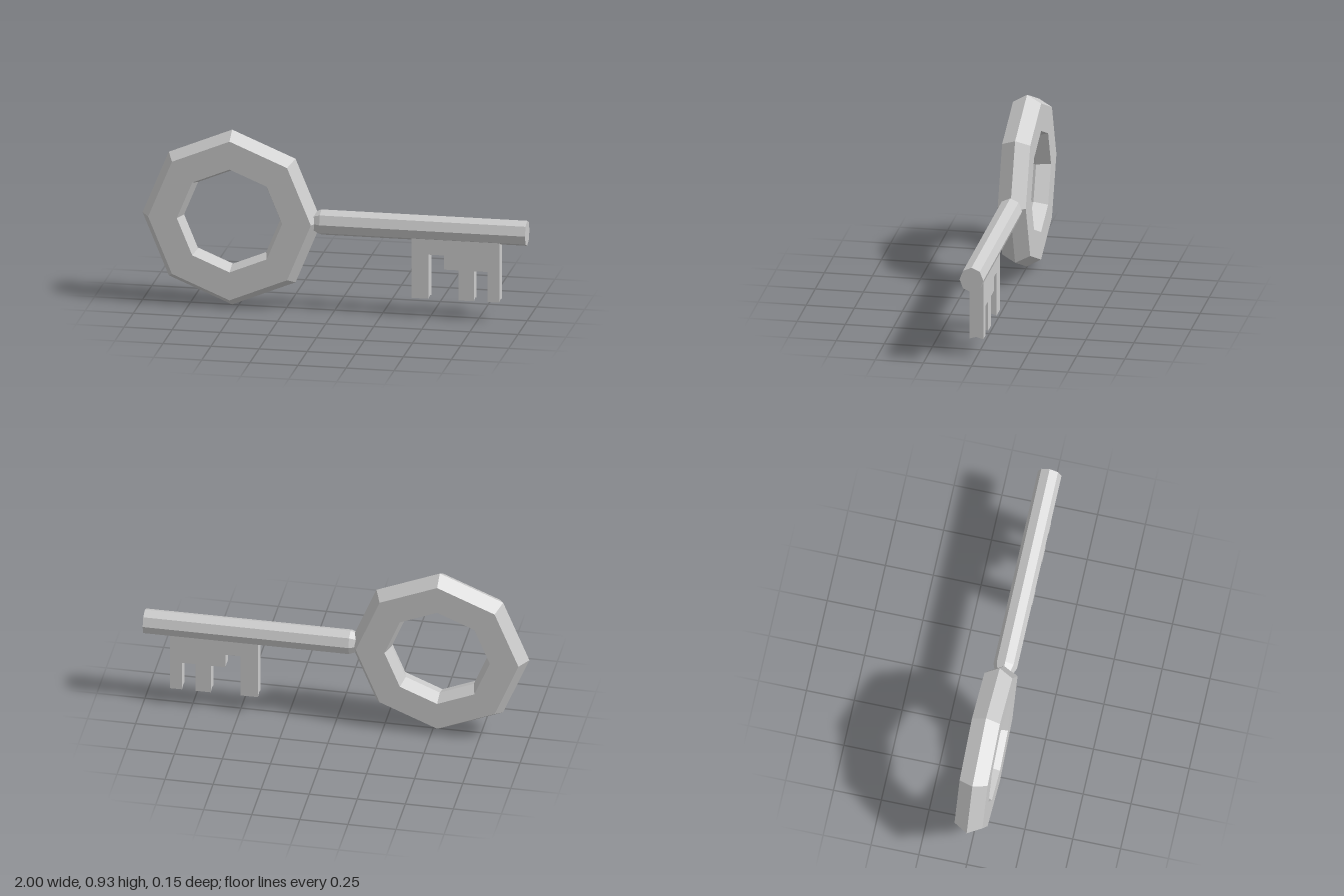
import * as THREE from 'three';

const MID = 0.467; // height of the key's axis

function facet(points, name) {
  const geo = new THREE.LatheGeometry(points.map(([r, h]) => new THREE.Vector2(r, h)), 8);
  const mesh = new THREE.Mesh(geo, new THREE.MeshStandardMaterial({ color: 0xcccccc, flatShading: true }));
  mesh.name = name;
  return mesh;
}

export function createModel() {
  const key = new THREE.Group();
  key.name = 'key';

  // Octagonal handle ring with a six-sided cross-section
  const handle = facet([
    [0.25, 0], [0.274, -0.073], [0.423, -0.073], [0.466, 0],
    [0.423, 0.073], [0.274, 0.073], [0.25, 0],
  ], 'handleRing');
  handle.geometry.rotateX(Math.PI / 2);
  handle.position.set(-0.534, MID, 0);
  key.add(handle);

  // Eight-sided shaft, tapered where it enters the ring
  const shaft = facet([[0, -0.11], [0.05, -0.11], [0.067, -0.07], [0.067, 1], [0, 1]], 'shaft');
  shaft.geometry.rotateZ(-Math.PI / 2).scale(1, 1, 0.92);
  shaft.position.y = MID;
  key.add(shaft);

  // Toothed bit; its top edge is buried in the shaft
  const outline = [
    [0.405, 0.44], [0.405, 0.1], [0.495, 0.1], [0.495, 0.335], [0.575, 0.335], [0.575, 0.26],
    [0.65, 0.26], [0.65, 0.1], [0.73, 0.1], [0.73, 0.26], [0.8, 0.26], [0.8, 0.1],
    [0.862, 0.1], [0.862, 0.44],
  ].map(([x, y]) => new THREE.Vector2(x, y));
  const bitGeo = new THREE.ExtrudeGeometry(new THREE.Shape(outline), {
    depth: 0.072, steps: 2, bevelEnabled: false,
  });
  bitGeo.translate(0, 0, -0.036);
  // Shallow V groove along the tips of the teeth
  const pos = bitGeo.attributes.position;
  for (let i = 0; i < pos.count; i++) {
    if (Math.abs(pos.getZ(i)) < 0.001 && pos.getY(i) < 0.11) pos.setY(i, 0.11);
  }
  bitGeo.computeVertexNormals();
  const bit = new THREE.Mesh(bitGeo, new THREE.MeshStandardMaterial({ color: 0xcccccc, flatShading: true }));
  bit.name = 'toothedBit';
  key.add(bit);

  return key;
}
